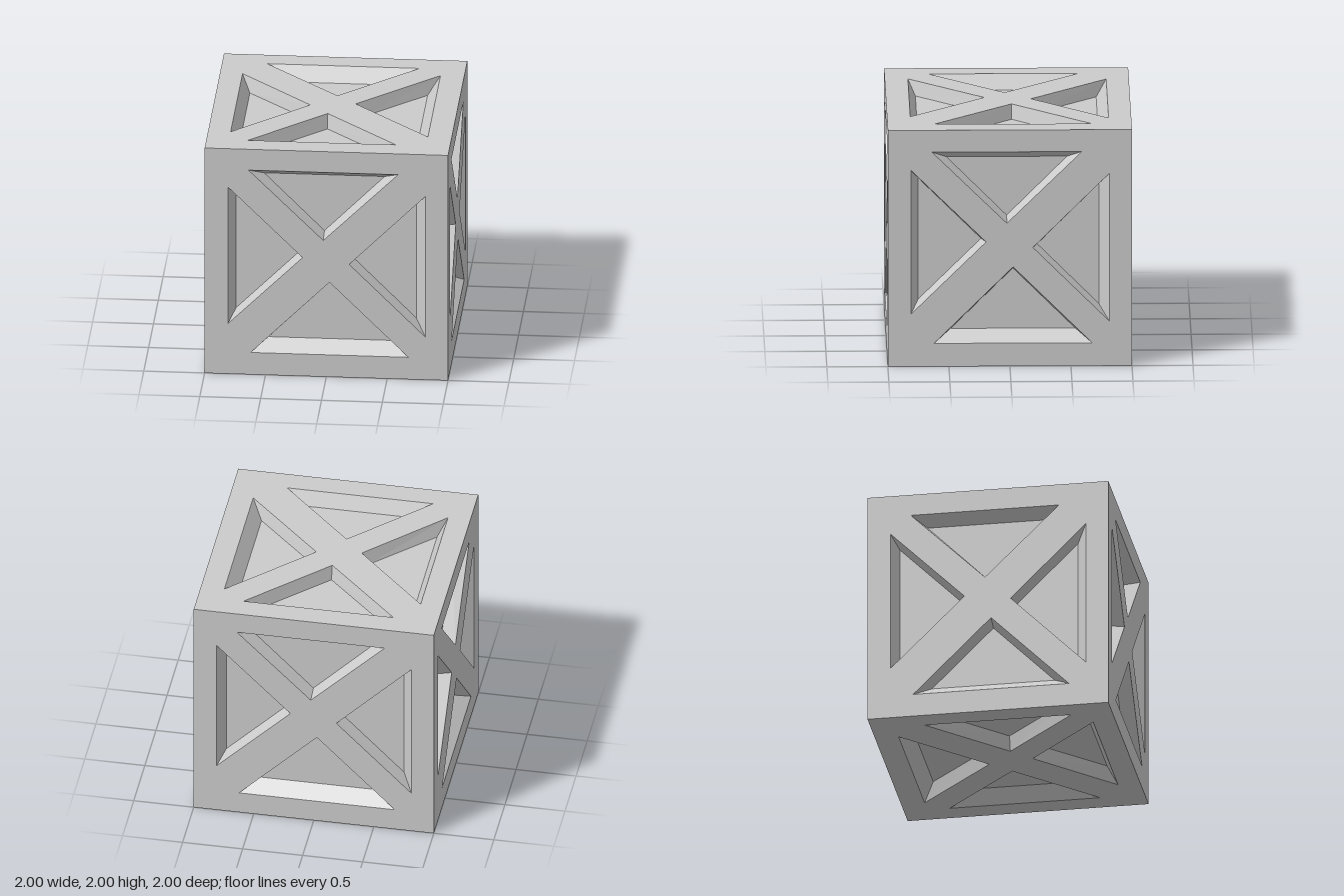
import * as THREE from 'three';

const DEPTH = 0.12;

// One triangular recess per quarter turn: centre offset along its rim edge,
// then [half width, rim distance, tip distance] for the mouth and the floor
const POCKETS = [
  { name: 'top', centre: -0.025, mouth: [0.615, 0.815, 0.21], floor: [0.495, 0.745, 0.248] },
  { name: 'left', centre: 0.052, mouth: [0.608, 0.81, 0.195], floor: [0.512, 0.75, 0.235] },
  { name: 'bottom', centre: -0.026, mouth: [0.648, 0.805, 0.16], floor: [0.51, 0.71, 0.2] },
  { name: 'right', centre: -0.004, mouth: [0.625, 0.814, 0.188], floor: [0.507, 0.73, 0.225] },
];

// Counter-clockwise triangle, turned by quarter turns about the face centre
function triangle(centre, [half, rim, tip], quarter) {
  const origin = new THREE.Vector2();
  return [[centre, tip], [centre + half, rim], [centre - half, rim]]
    .map(([u, v]) => new THREE.Vector2(u, v).rotateAround(origin, quarter * Math.PI / 2));
}

// Sloping walls and flat floor of one recess
function pocketGeometry(mouth, floor) {
  const m = mouth.map(p => [p.x, p.y, 1]);
  const f = floor.map(p => [p.x, p.y, 1 - DEPTH]);
  const pos = [...f.flat()];
  for (let i = 0; i < 3; i++) {
    const j = (i + 1) % 3;
    for (const p of [m[i], m[j], f[j], m[i], f[j], f[i]]) pos.push(...p);
  }
  const geometry = new THREE.BufferGeometry();
  geometry.setAttribute('position', new THREE.Float32BufferAttribute(pos, 3));
  geometry.computeVertexNormals();
  return geometry;
}

export function createModel() {
  const model = new THREE.Group();
  model.name = 'crate';
  const material = new THREE.MeshStandardMaterial({ color: 0xcccccc, flatShading: true });

  // Square border and cross braces, cut by the four recesses
  const outline = new THREE.Shape([[-1, -1], [1, -1], [1, 1], [-1, 1]].map(p => new THREE.Vector2(...p)));
  const recesses = POCKETS.map((p, k) => {
    const mouth = triangle(p.centre, p.mouth, k);
    outline.holes.push(new THREE.Path(mouth.slice().reverse()));
    return { name: p.name + 'Recess', geometry: pocketGeometry(mouth, triangle(p.centre, p.floor, k)) };
  });
  const frame = new THREE.ShapeGeometry(outline).translate(0, 0, 1);

  // The same panel on all six faces
  const quarter = Math.PI / 2;
  const faces = {
    frontPanel: [0, 0, 0],
    leftPanel: [0, quarter, 0],
    backPanel: [0, 2 * quarter, 0],
    rightPanel: [0, -quarter, 0],
    topPanel: [-quarter, 0, quarter],
    bottomPanel: [quarter, 0, 0],
  };
  for (const [name, rotation] of Object.entries(faces)) {
    const panel = new THREE.Group();
    panel.name = name;
    for (const part of [{ name: 'crossBracedFrame', geometry: frame }, ...recesses]) {
      const mesh = new THREE.Mesh(part.geometry, material);
      mesh.name = part.name;
      panel.add(mesh);
    }
    panel.rotation.set(...rotation);
    panel.position.y = 1;
    model.add(panel);
  }
  return model;
}
